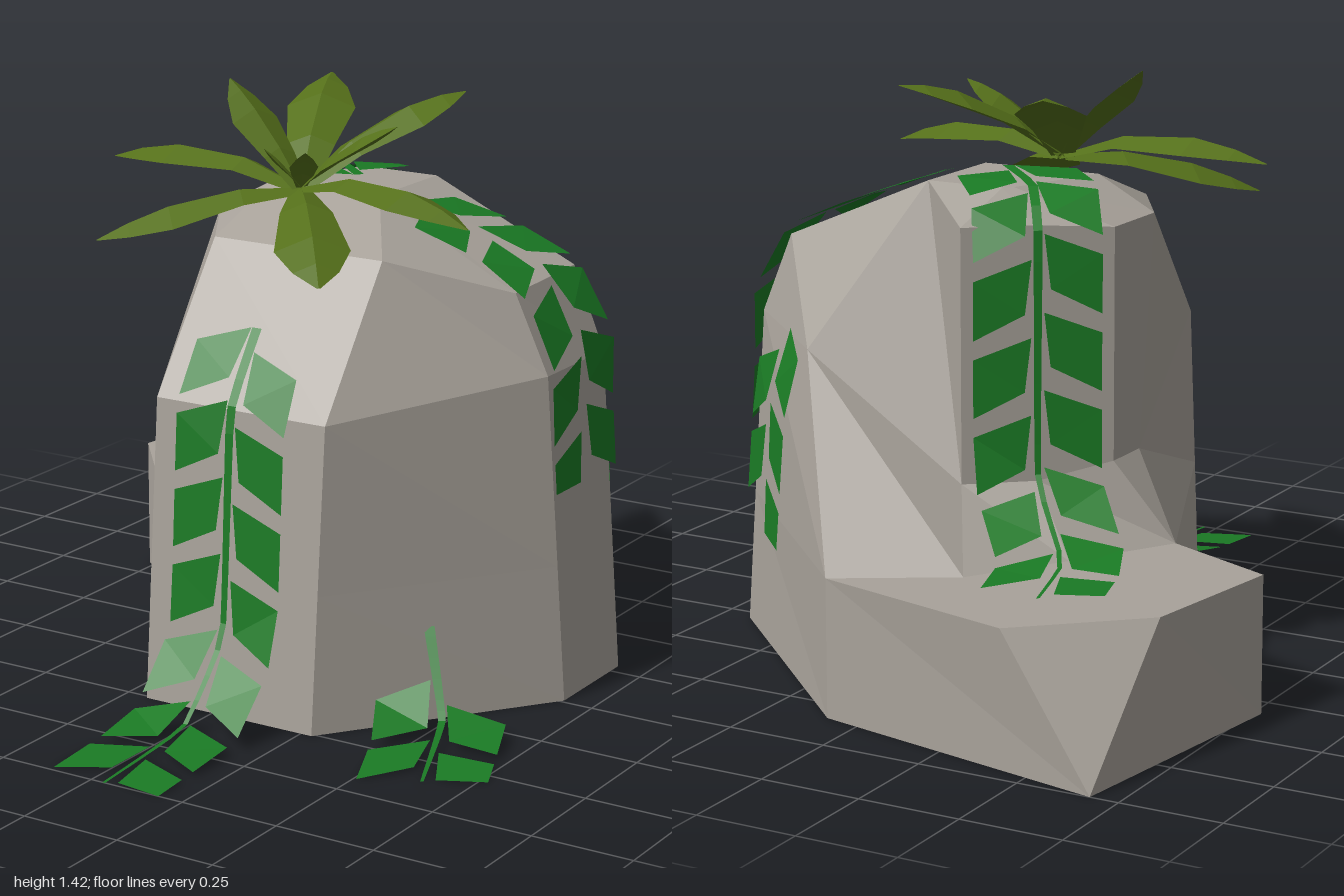
import * as THREE from 'three';

const V = (x, y, z) => new THREE.Vector3(x, y, z);
const material = (color) => new THREE.MeshStandardMaterial({ color, flatShading: true, side: THREE.DoubleSide });
const stone = material(0xa8a29a), vineGreen = material(0x1a7a24), frondGreen = material(0x55701a);

function add(parent, name, geometry, mat) {
  const mesh = new THREE.Mesh(geometry, mat);
  mesh.name = name;
  parent.add(mesh);
}

// Rows of equally many points joined into a sheet
function sheet(rows) {
  const n = rows[0].length, index = [];
  for (let i = 0; i < rows.length - 1; i++)
    for (let j = 0; j < n - 1; j++) {
      const a = i * n + j, b = a + n;
      index.push(a, a + 1, b, a + 1, b + 1, b);
    }
  const g = new THREE.BufferGeometry().setFromPoints(rows.flat());
  g.setIndex(index);
  g.computeVertexNormals();
  return g;
}

// Rock rings: one at a single height, one with a height per corner
const level = (y, ...xz) => xz.map(([x, z]) => V(x, y, z));
const ring = (...xyz) => xyz.map((p) => V(...p));

// Rock: shell with an open bottom; nine corners per ring, from front right round to the side
function rockGeometry() {
  const rings = [
    level(0.01, [-0.19, 0.51], [0.28, 0.51], [0.67, -0.01], [0.67, -0.29], [0.09, -0.84],
      [-0.68, -1], [-0.68, -1], [-0.77, -0.33], [-0.43, -0.05]),
    // outer rim of the low ledge
    level(0.345, [-0.19, 0.483], [0.28, 0.483], [0.645, -0.01], [0.645, -0.29], [0.09, -0.84],
      [-0.44, -0.97], [-0.71, -0.73], [-0.77, -0.33], [-0.48, -0.2]),
    // foot of the wall standing on the ledge
    level(0.345, [-0.19, 0.483], [0.28, 0.483], [0.645, -0.01], [0.645, -0.29], [0.09, -0.84],
      [-0.18, -0.68], [-0.33, -0.45], [-0.48, -0.2], [-0.48, -0.2]),
    // shoulders
    ring([-0.19, 0.75, 0.45], [0.28, 0.75, 0.45], [0.61, 0.81, -0.01], [0.61, 0.81, -0.29], [0.33, 0.79, -0.53],
      [-0.06, 0.5, -0.48], [-0.2, 0.5, -0.365], [-0.34, 0.54, -0.25], [-0.34, 0.54, -0.12]),
    ring([-0.19, 1.09, 0.2], [0.28, 1.09, 0.2], [0.52, 1.0, -0.01], [0.52, 1.01, -0.3], [0.12, 1.18, -0.32],
      [-0.06, 1.11, -0.48], [-0.2, 1.11, -0.365], [-0.34, 1.1, -0.25], [-0.34, 1.1, -0.05]),
    // flat top, closed at its middle
    level(1.18, [-0.19, -0.05], [0.12, -0.05], [0.12, -0.1], [0.12, -0.32], [0.12, -0.32],
      [-0.08, -0.32], [-0.08, -0.32], [-0.1, -0.3], [-0.19, -0.05]),
    Array.from({ length: 9 }, () => V(-0.02, 1.18, -0.18)),
  ];
  return sheet(rings.map((r) => [...r, r[0]]));
}

// Vine: flat stem with alternating slanted leaflets that follow its path
function vine(parent, name, path, sideDir, firstLeaf, hasStem) {
  const group = new THREE.Group();
  group.name = name;
  parent.add(group);
  const curve = new THREE.CatmullRomCurve3(path.map((p) => V(...p)), false, 'catmullrom', 0.15);
  const length = curve.getLength(), side = V(...sideDir).normalize();
  const at = (d, s) => curve.getPointAt(THREE.MathUtils.clamp(d / length, 0, 1)).addScaledVector(side, s);
  if (hasStem)
    add(group, 'stem', sheet(Array.from({ length: 21 }, (_, i) => {
      const d = length * i / 20, w = 0.013 * (1 - 0.7 * i / 20);
      return [at(d, -w), at(d, w)];
    })), vineGreen);
  for (const s of [-1, 1])
    for (let d = firstLeaf + (s > 0 ? 0.06 : 0); d < length - 0.1; d += 0.185)
      add(group, 'leaflet', sheet([
        [at(d, s * 0.015), at(d + 0.05, s * 0.15)],
        [at(d + 0.13, s * 0.03), at(d + 0.19, s * 0.15)],
      ]), vineGreen);
}

// Frond: arched blade, creased along its middle, tapering to a point
function frond(parent, tip, width, arch) {
  const base = V(-0.04, 1.2, 0.05), end = V(...tip);
  const across = V(-(end.z - base.z), 0, end.x - base.x).normalize();
  const rows = [[0, 0.3], [0.3, 0.7], [0.65, 1], [0.85, 0.6], [1, 0.04]].map(([t, w]) => {
    const mid = base.clone().lerp(end, t);
    mid.y += arch * 4 * t * (1 - t);
    return [-1, 0, 1].map((s) => mid.clone().addScaledVector(across, s * w * width / 2)
      .add(V(0, -Math.abs(s) * w * width * 0.2, 0)));
  });
  add(parent, 'frond', sheet(rows), frondGreen);
}

export function createModel() {
  const model = new THREE.Group();
  add(model, 'rock', rockGeometry(), stone);

  const vines = new THREE.Group();
  vines.name = 'vines';
  model.add(vines);
  vine(vines, 'frontVine', [[0.035, 0.93, 0.36], [0.035, 0.75, 0.475], [0.035, 0.22, 0.515],
    [0.035, 0.04, 0.68], [0.035, 0.01, 1]], [1, 0, 0], 0, true);
  vine(vines, 'leftVine', [[0.08, 1.2, 0], [0.3, 1.13, -0.12], [0.53, 1.03, -0.14],
    [0.635, 0.86, -0.14], [0.635, 0.75, -0.14], [0.65, 0.53, -0.14]], [0, 0, 1], 0.12, false);
  vine(vines, 'backLeftVine', [[0.38, 0.84, -0.53], [0.41, 0.7, -0.57], [0.43, 0.34, -0.59]],
    [0.73, 0, 0.68], 0, false);
  vine(vines, 'backVine', [[0, 1.2, -0.15], [-0.15, 1.19, -0.3], [-0.22, 1.1, -0.4],
    [-0.22, 0.52, -0.4], [-0.36, 0.37, -0.54], [-0.43, 0.36, -0.78]], [0.82, 0, -0.57], 0, true);
  vine(vines, 'cornerVine', [[0.45, 0.24, 0.26], [0.54, 0.05, 0.35], [0.64, 0.01, 0.61]],
    [0.87, 0, -0.5], 0.13, true);

  const plant = new THREE.Group();
  plant.name = 'plant';
  model.add(plant);
  for (const [tip, width, arch] of [
    [[-0.58, 1.22, 0.06], 0.16, 0.06], [[0.48, 1.18, 0.15], 0.16, 0.06],
    [[-0.41, 1.09, 0.38], 0.18, 0.04], [[0.25, 1.07, 0.43], 0.18, 0.04],
    [[-0.21, 1.4, -0.36], 0.17, 0.05], [[0.2, 1.4, -0.32], 0.17, 0.05],
    [[-0.29, 1.43, -0.02], 0.14, 0.02], [[0.21, 1.37, 0.02], 0.14, 0.03],
    [[-0.1, 1.3, 0.12], 0.07, 0.01], [[0.01, 1.3, 0.11], 0.07, 0.01],
  ]) frond(plant, tip, width, arch);

  return model;
}
